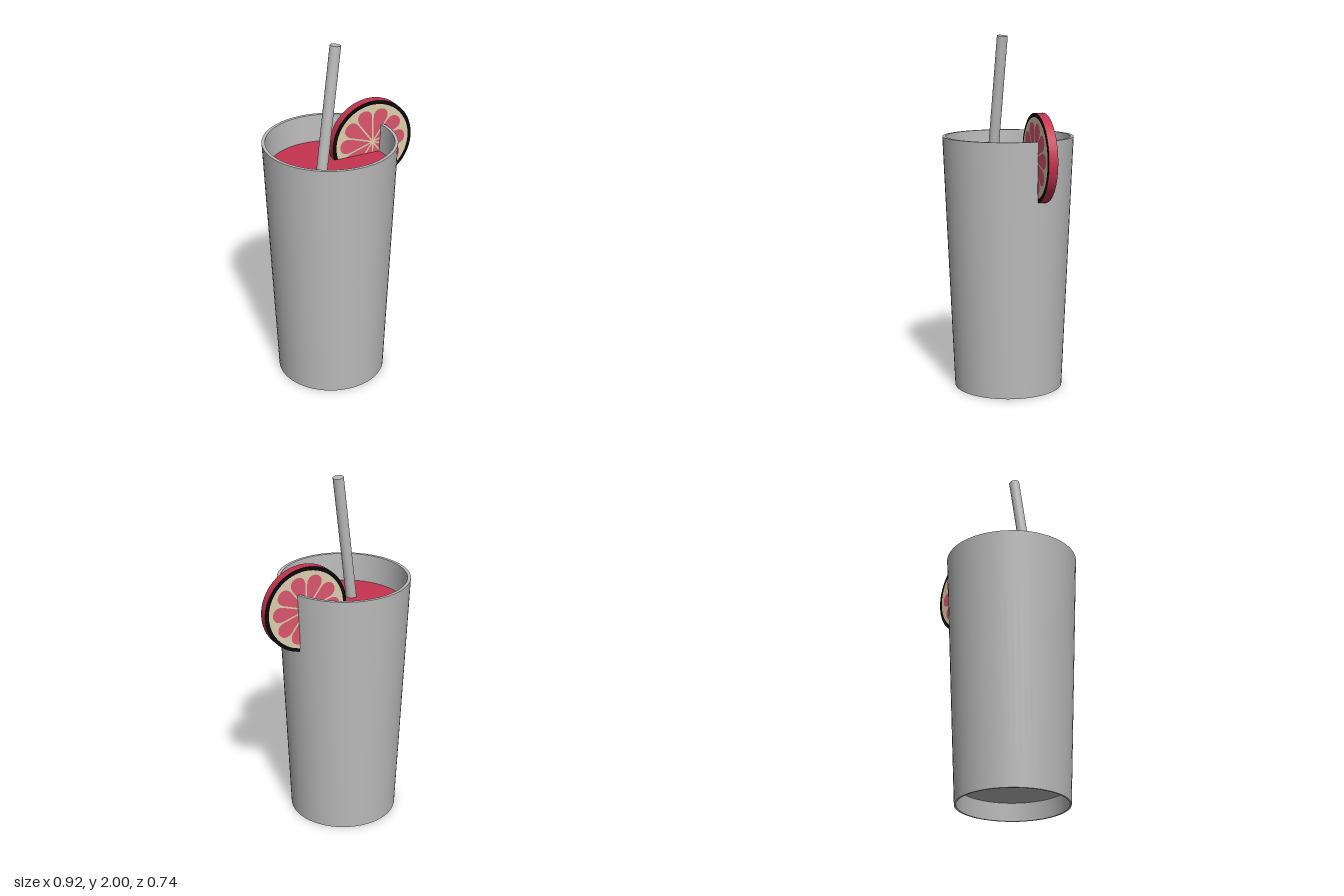
import * as THREE from 'three';
import { toCreasedNormals } from 'three/addons/utils/BufferGeometryUtils.js';

const material = (name, color) => {
  const m = new THREE.MeshStandardMaterial({ color });
  m.name = name;
  return m;
};

export function createModel() {
  const grey = material('glass grey', 0xbcbcbc);
  const crimson = material('crimson', 0xc4344e);
  const black = material('black', 0x060806);
  const cream = material('cream', 0xdccfae);
  const pink = material('pink', 0xdc566e);

  const model = new THREE.Group();
  model.name = 'drink';
  const add = (parent, name, geometry, mat) => {
    const mesh = new THREE.Mesh(geometry, mat);
    mesh.name = name;
    parent.add(mesh);
    return mesh;
  };

  // Tapered tumbler: recessed base, thin wall, open top
  const profile = [
    [0, 0.1], [0.292, 0.1], [0.298, 0], [0.308, 0], [0.369, 1.44],
    [0.351, 1.44], [0.296, 0.14], [0, 0.14],
  ].map(([x, y]) => new THREE.Vector2(x, y));
  const glass = add(model, 'glass', toCreasedNormals(new THREE.LatheGeometry(profile, 64), 0.6), grey);
  glass.position.x = -0.092;

  // Drink filling the tumbler
  const liquid = add(model, 'liquid', new THREE.CylinderGeometry(0.341, 0.294, 1.13, 64), crimson);
  liquid.position.set(-0.092, 0.715, 0);

  // Leaning straw, running from deep in the drink to its tip
  const bottom = new THREE.Vector3(-0.34, 0.3, 0.04);
  const top = new THREE.Vector3(-0.087, 1.996, 0.04);
  const direction = top.clone().sub(bottom);
  const straw = add(model, 'straw', new THREE.CylinderGeometry(0.03, 0.03, direction.length(), 24), grey);
  straw.position.copy(bottom).add(top).multiplyScalar(0.5);
  straw.quaternion.setFromUnitVectors(new THREE.Vector3(0, 1, 0), direction.normalize());

  // Citrus slice straddling the rim
  const slice = new THREE.Group();
  slice.name = 'citrusSlice';
  slice.position.set(0.217, 1.345, -0.002);
  slice.rotation.y = -0.3;
  model.add(slice);

  const rind = new THREE.CylinderGeometry(0.244, 0.244, 0.05, 64);
  rind.rotateX(Math.PI / 2);
  add(slice, 'rind', rind, [crimson, black, black]);

  // One teardrop of flesh pointing along +x
  const petal = new THREE.Shape();
  petal.moveTo(0.014, 0);
  petal.lineTo(0.135, 0.039);
  petal.bezierCurveTo(0.175, 0.052, 0.2, 0.03, 0.2, 0);
  petal.bezierCurveTo(0.2, -0.03, 0.175, -0.052, 0.135, -0.039);
  petal.closePath();
  const petalGeometry = new THREE.ShapeGeometry(petal, 10);
  petalGeometry.rotateZ(0);

  // Pith disc and ten segments on both faces
  for (const turn of [0, Math.PI]) {
    const face = new THREE.Group();
    face.name = turn ? 'backFace' : 'frontFace';
    face.rotation.y = turn;
    slice.add(face);
    add(face, 'pith', new THREE.CircleGeometry(0.223, 64), cream).position.z = 0.027;
    for (let i = 0; i < 10; i++) {
      const segment = add(face, 'fleshSegment', petalGeometry, pink);
      segment.position.z = 0.029;
      segment.rotation.z = (i * Math.PI) / 5;
    }
  }
  return model;
}
